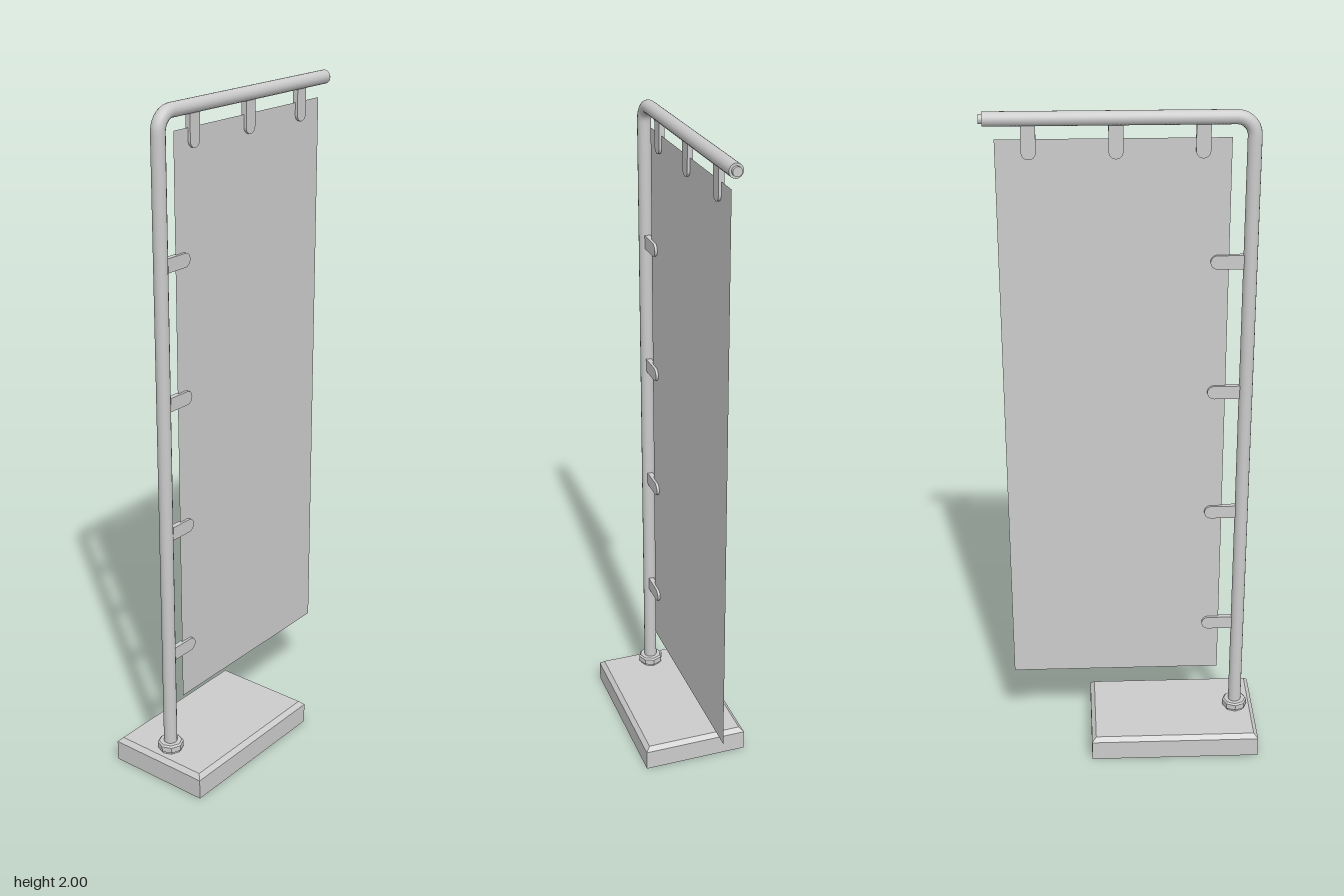
import * as THREE from 'three';

export function createModel() {
  const model = new THREE.Group();
  const mat = new THREE.MeshStandardMaterial({ color: 0xcccccc });
  const thin = new THREE.MeshStandardMaterial({ color: 0xcccccc, side: THREE.DoubleSide });
  const flat = new THREE.MeshStandardMaterial({ color: 0xcccccc, side: THREE.DoubleSide, flatShading: true });

  const add = (name, geometry, material, x = 0, y = 0, z = 0) => {
    const mesh = new THREE.Mesh(geometry, material);
    mesh.name = name;
    mesh.position.set(x, y, z);
    model.add(mesh);
    return mesh;
  };

  const poleX = -0.34, armY = 1.98, poleR = 0.02, bend = 0.05;

  // Hollow foot plate, open underneath, with a chamfered top edge
  const ring = (inset, y) => {
    const x = 0.26 - inset, z = 0.163 - inset;
    return [[-x, y, z], [x, y, z], [x, y, -z], [-x, y, -z]];
  };
  const rings = [ring(0, 0), ring(0, 0.062), ring(0.013, 0.075)];
  const pos = [];
  const quad = (a, b, c, d) => pos.push(...a, ...b, ...c, ...a, ...c, ...d);
  for (let r = 0; r < 2; r++) {
    for (let i = 0; i < 4; i++) {
      const j = (i + 1) % 4;
      quad(rings[r][i], rings[r][j], rings[r + 1][j], rings[r + 1][i]);
    }
  }
  quad(...rings[2]);
  const baseGeo = new THREE.BufferGeometry();
  baseGeo.setAttribute('position', new THREE.Float32BufferAttribute(pos, 3));
  baseGeo.computeVertexNormals();
  add('base', baseGeo, flat, -0.14);

  // Octagonal socket holding the pole
  const collar = [[0.033, 0.07], [0.033, 0.08], [0.039, 0.083], [0.039, 0.1], [0.034, 0.105], [0, 0.105]]
    .map(([r, y]) => new THREE.Vector2(r, y));
  add('collar', new THREE.LatheGeometry(collar, 8), flat, poleX);

  // Upright and arm in one bent tube
  const path = new THREE.CurvePath();
  const v = (x, y) => new THREE.Vector3(x, y, 0);
  path.add(new THREE.LineCurve3(v(poleX, 0.08), v(poleX, armY - bend)));
  const k = bend * 0.45;
  path.add(new THREE.CubicBezierCurve3(
    v(poleX, armY - bend), v(poleX, armY - k), v(poleX + k, armY), v(poleX + bend, armY)));
  path.add(new THREE.LineCurve3(v(poleX + bend, armY), v(0.388, armY)));
  add('pole', new THREE.TubeGeometry(path, 260, poleR, 16), mat);

  // Stepped plug closing the end of the arm
  const plug = [[0.02, 0], [0.02, 0.002], [0.013, 0.002], [0.013, 0.012], [0, 0.012]]
    .map(([r, y]) => new THREE.Vector2(r, y));
  add('armEndCap', new THREE.LatheGeometry(plug, 16), flat, 0.388, armY).rotation.z = -Math.PI / 2;

  // Cloth banner
  add('banner', new THREE.PlaneGeometry(0.64, 1.695), thin, 0.04, 1.0775);

  // Straps with a rounded free end, pointing down from their origin
  const w = 0.02, len = 0.1, depth = 0.016;
  const strap = new THREE.Shape();
  strap.moveTo(w, 0);
  strap.lineTo(-w, 0);
  strap.lineTo(-w, -len + w);
  strap.absarc(0, -len + w, w, Math.PI, Math.PI * 2, false);
  strap.lineTo(w, 0);
  const strapGeo = new THREE.ExtrudeGeometry(strap, { depth, bevelEnabled: false, curveSegments: 10 });
  strapGeo.translate(0, 0, -depth / 2);

  for (const x of [-0.202, 0.034, 0.269]) add('topStrap', strapGeo, mat, x, 1.97);
  for (const y of [0.395, 0.787, 1.18, 1.575]) {
    add('sideStrap', strapGeo, mat, poleX + 0.012, y).rotation.z = Math.PI / 2;
  }
  return model;
}
